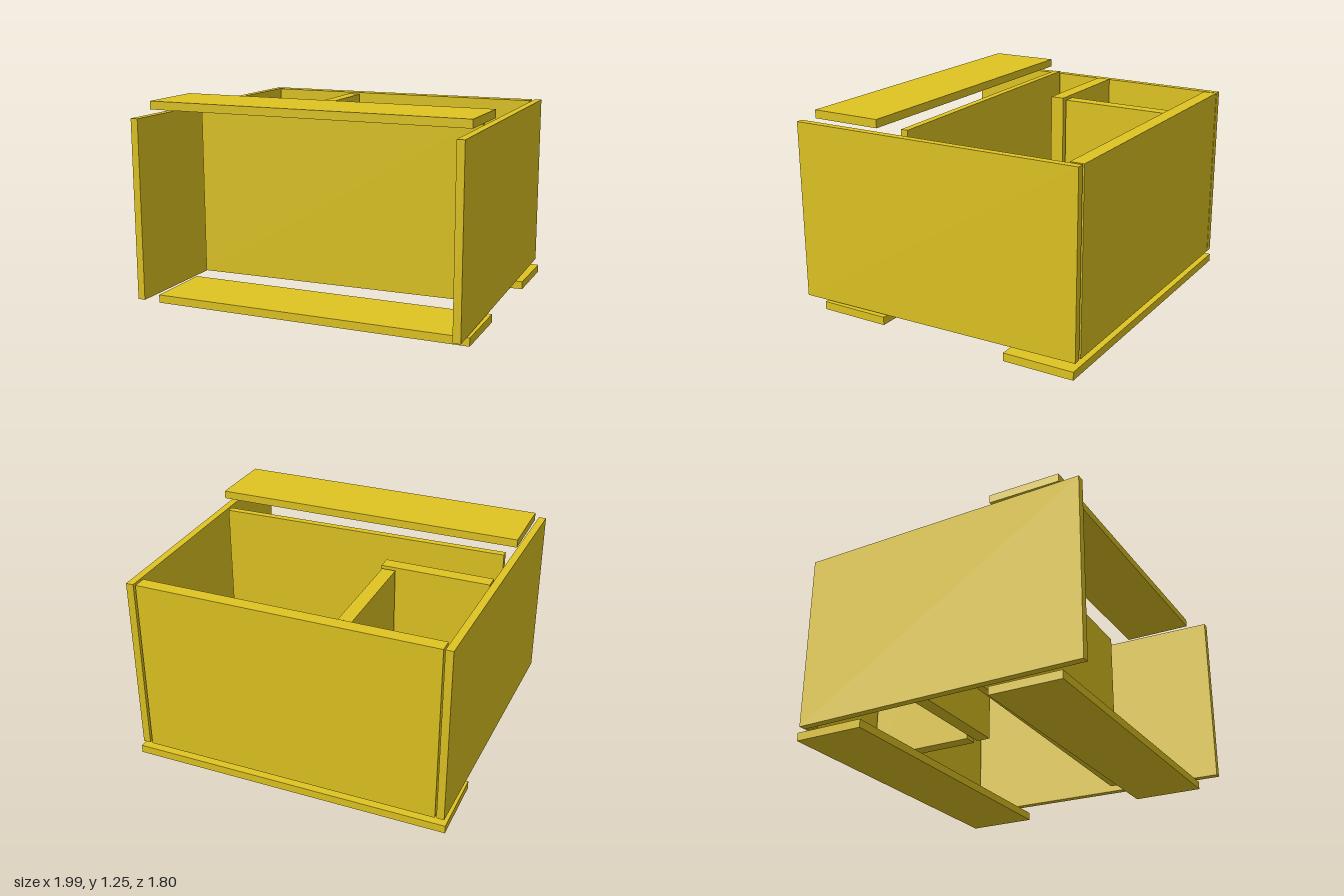
import * as THREE from 'three';

export function createModel() {
  const group = new THREE.Group();
  const material = new THREE.MeshStandardMaterial({ color: 0xe0c522 });

  // One board: size, centre and a slight turn about the vertical axis
  function board(name, [w, h, d], [x, y, z], turn = 0) {
    const mesh = new THREE.Mesh(new THREE.BoxGeometry(w, h, d), material);
    mesh.name = name;
    mesh.position.set(x, y, z);
    mesh.rotation.y = turn;
    group.add(mesh);
  }

  const wall = 1.075; // height shared by all upright boards

  // Side walls, splayed slightly out of square
  board('rightSide', [0.045, wall, 1.795], [-0.959, 0.631, -0.002], -0.0195);
  board('leftSide', [0.045, wall, 1.795], [0.947, 0.631, -0.002], 0.021);

  // Back wall and the slightly raised, skewed front panel
  board('backPanel', [1.8, wall, 0.082], [-0.01, 0.631, -0.859]);
  board('frontPanel', [1.795, wall, 0.043], [-0.01, 1.19 - wall / 2, 0.229], 0.0215);

  // Inner compartment walls
  board('crossDivider', [0.645, wall, 0.083], [-0.607, 0.634, -0.097]);
  board('lengthDivider', [0.08, wall, 0.65], [-0.334, 0.622, -0.478]);

  // Flat slats above and below
  board('topSlat', [1.943, 0.049, 0.432], [0.013, 1.23, 0.54]);
  board('bottomFrontSlat', [1.943, 0.049, 0.432], [0.024, 0.06, 0.54]);
  board('bottomBackSlat', [1.943, 0.049, 0.432], [-0.001, 0.029, -0.684]);

  return group;
}
